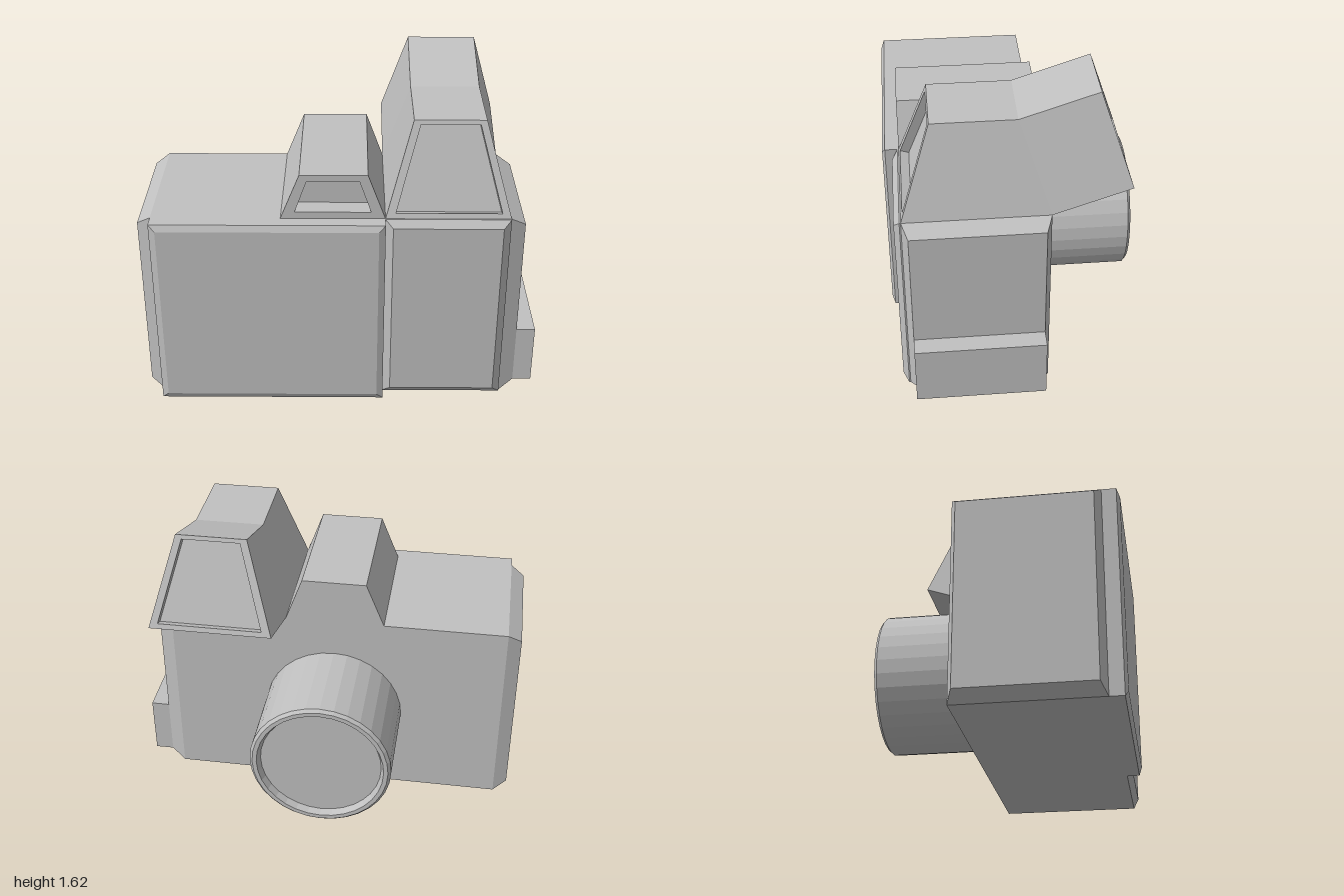
import * as THREE from 'three';

// Four-cornered section: bottom edge b and top edge t, each [x0, x1, y, z]
const quad = (b, t) => [
  [b[0], b[2], b[3]], [b[1], b[2], b[3]],
  [t[1], t[2], t[3]], [t[0], t[2], t[3]],
];
const rect = (x0, x1, y0, y1, z) => quad([x0, x1, y0, z], [x0, x1, y1, z]);

// Closed solid through four-cornered sections ordered from -z to +z
function loft(sections) {
  const pos = [];
  const face = (a, b, c, d) => [a, b, c, a, c, d].forEach((p) => pos.push(...p));
  const first = sections[0], last = sections[sections.length - 1];
  face(first[3], first[2], first[1], first[0]);
  face(...last);
  for (let s = 0; s < sections.length - 1; s++) {
    const p = sections[s], q = sections[s + 1];
    for (let i = 0; i < 4; i++) {
      const j = (i + 1) % 4;
      face(p[i], p[j], q[j], q[i]);
    }
  }
  const geo = new THREE.BufferGeometry();
  geo.setAttribute('position', new THREE.Float32BufferAttribute(pos, 3));
  geo.computeVertexNormals();
  return geo;
}

export function createModel() {
  const model = new THREE.Group();
  model.name = 'camera';
  const grey = new THREE.MeshStandardMaterial({ color: 0xc0c0c0, flatShading: true });
  grey.name = 'grey';
  const add = (name, geo) => {
    const mesh = new THREE.Mesh(geo, grey);
    mesh.name = name;
    model.add(mesh);
    return mesh;
  };

  // Body with tapered ends, lofted along x
  add('body', loft([
    rect(-0.53, 0.12, 0.05, 0.99, -1),
    rect(-0.56, 0.15, 0, 1.035, -0.93),
    rect(-0.56, 0.15, 0, 1.035, 0.83),
    rect(-0.53, 0.12, 0.05, 0.99, 0.905),
  ]).rotateY(Math.PI / 2));

  // Bevelled plates
  const plate = (name, x0, x1, z1, z2, inset) => add(name, loft([
    rect(x0, x1, 0, 1.035, 0.55),
    rect(x0, x1, 0, 1.035, z1),
    rect(x0 + inset, x1 - inset, inset, 1.035 - inset, z2),
  ]));
  plate('widePlate', -0.93, 0.217, 0.63, 0.645, 0.032);
  plate('narrowPlate', 0.217, 0.83, 0.567, 0.595, 0.038);

  // Side block
  const block = add('sideBlock', new THREE.BoxGeometry(0.11, 0.315, 0.65));
  block.position.set(0.945, 0.2075, 0.205);

  // Viewfinder hump with a recessed window
  const hump = (z) => quad([-0.295, 0.217, 1.035, z], [-0.2, 0.13, 1.27, z]);
  const humpWindow = (z) => quad([-0.225, 0.147, 1.07, z], [-0.165, 0.09, 1.235, z]);
  add('viewfinder', loft([hump(-0.15), hump(0.56), humpWindow(0.56), humpWindow(0.46)]));

  // Bent flash head with a recessed window at each end
  const head = (yb, zb, yt, zt) => quad([0.217, 0.83, yb, zb], [0.35, 0.7, yt, zt]);
  const headWindow = (yb, zb, yt, zt, depth) => {
    const mix = THREE.MathUtils.lerp, dy = depth ? -0.014 : 0;
    return quad(
      [0.267, 0.785, mix(yb, yt, 0.055) + dy, mix(zb, zt, 0.055) + depth],
      [0.383, 0.67, mix(yb, yt, 0.955) + dy, mix(zb, zt, 0.955) + depth],
    );
  };
  const lensEnd = [1.165, -0.53, 1.618, -0.378], plateEnd = [1.035, 0.56, 1.492, 0.41];
  add('flashHead', loft([
    headWindow(...lensEnd, 0.043),
    headWindow(...lensEnd, 0),
    head(...lensEnd),
    head(1.035, -0.15, 1.492, 0),
    head(...plateEnd),
    headWindow(...plateEnd, 0),
    headWindow(...plateEnd, -0.043),
  ]));

  // Lens barrel with bevelled rim and sunken glass, pointing to -z
  const profile = [
    [0.365, 0.1], [0.365, 0.63], [0.35, 0.645], [0.328, 0.645], [0.312, 0.612], [0, 0.612],
  ].map(([r, h]) => new THREE.Vector2(r, h));
  const lens = add('lens', new THREE.LatheGeometry(profile, 32).rotateX(-Math.PI / 2));
  lens.position.set(-0.035, 0.472, 0);

  return model;
}
